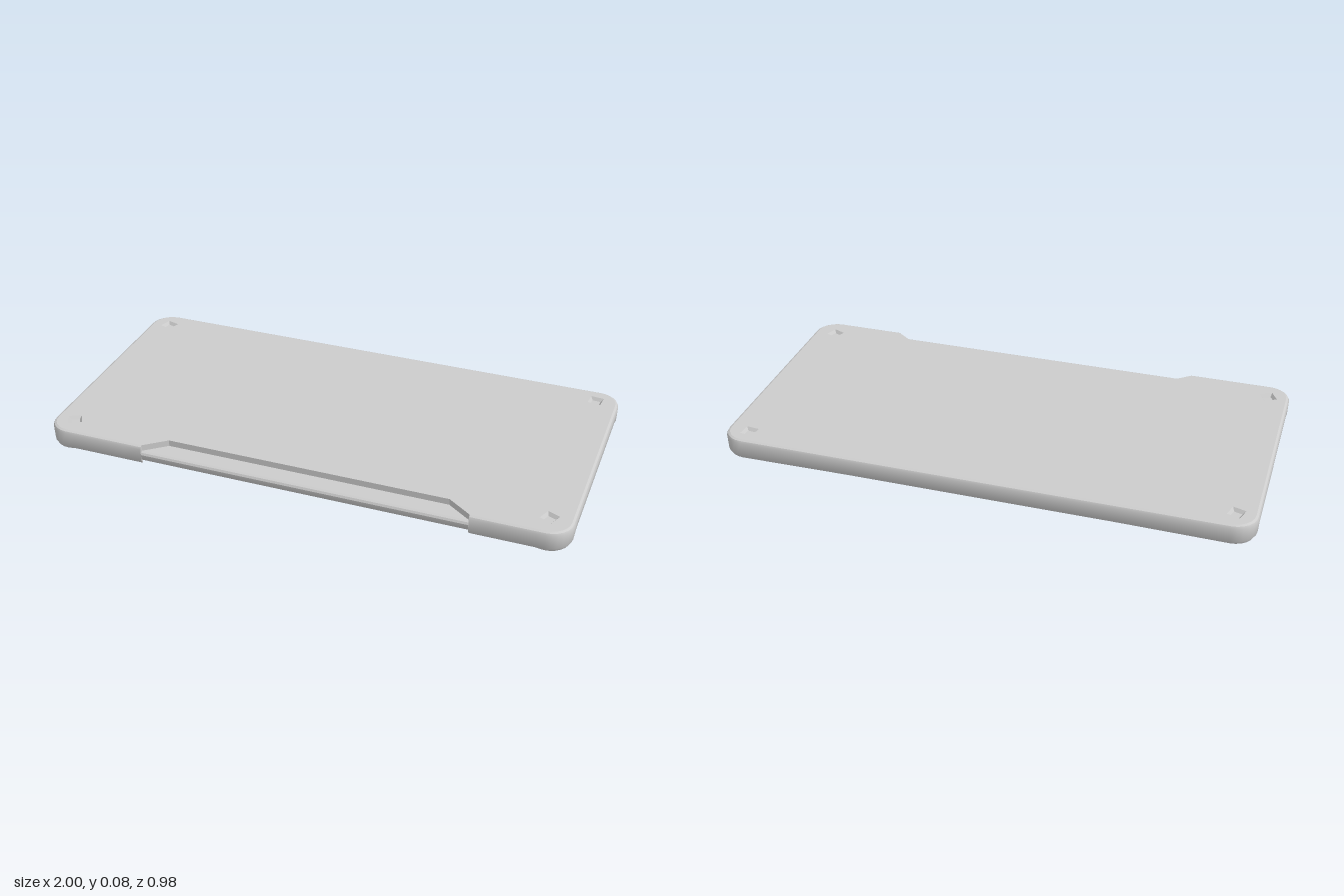
import * as THREE from 'three';
import { toCreasedNormals } from 'three/addons/utils/BufferGeometryUtils.js';

const W = 1, D = 0.488, R = 0.085;            // half width, half depth, corner radius
const TOP = 0.08, SHELF = 0.056;              // heights of the plate and the front recess
const BEVEL = 0.012;
const NOTCH = { x0: -0.6, x1: 0.65, inX0: -0.52, inX1: 0.56, z: 0.412 };

const material = new THREE.MeshStandardMaterial({ color: 0xcccccc, side: THREE.DoubleSide });

// Rounded outline, from the front edge round the left side, back and right side.
function outline(inset) {
  const pts = [];
  const w = W - inset, d = D - inset, r = R - inset;
  const front = [[-0.88, 0], [-0.67, 0], [-0.6, 0], [-0.6, 1], [-0.52, 1], [0.02, 1],
    [0.56, 1], [0.65, 1], [0.65, 0], [0.72, 0], [0.88, 0]];
  front.forEach(([x, low]) => pts.push({ x, z: d, low, edge: 'front' }));
  const corner = (sx, sz, start) => {
    for (let i = 0; i <= 6; i++) {
      const a = start - (i / 6) * Math.PI / 2;
      pts.push({ x: sx * (w - r) + r * Math.cos(a), z: sz * (d - r) + r * Math.sin(a), low: 0, edge: 'corner' });
    }
  };
  corner(1, 1, Math.PI / 2);
  for (const z of [0.36, 0, -0.36]) pts.push({ x: w, z, low: 0, edge: 'side' });
  corner(1, -1, 0);
  for (const x of [0.5, 0, -0.5]) pts.push({ x, z: -d, low: 0, edge: 'back' });
  corner(-1, -1, -Math.PI / 2);
  for (const z of [-0.36, 0, 0.36]) pts.push({ x: -w, z, low: 0, edge: 'side' });
  corner(-1, 1, -Math.PI);
  return pts;
}

// Lower edge lifts slightly along the sides and under the recess.
function bottomY(p) {
  if (p.low) return 0.017;
  if (p.edge === 'side') return 0.014;
  if (p.edge === 'front' || p.edge === 'back') return 0.004;
  return 0;
}

// Joins equal-length rows of points, lowest row first.
function skin(rows, closed) {
  const n = rows[0].length, index = [];
  for (let j = 0; j < rows.length - 1; j++) {
    for (let i = 0; i < (closed ? n : n - 1); i++) {
      const a = j * n + i, b = j * n + (i + 1) % n;
      index.push(a, b, b + n, a, b + n, a + n);
    }
  }
  const geo = new THREE.BufferGeometry();
  geo.setAttribute('position', new THREE.Float32BufferAttribute(rows.flat(2), 3));
  geo.setIndex(index);
  return toCreasedNormals(geo, 0.6);
}

// Horizontal panel from [x, z] corners at height y.
function panel(points, y, holes = []) {
  const path = (list) => list.map(([x, z]) => new THREE.Vector2(x, -z));
  const shape = new THREE.Shape(path(points));
  holes.forEach((h) => shape.holes.push(new THREE.Path(path(h))));
  const geo = new THREE.ShapeGeometry(shape);
  geo.rotateX(-Math.PI / 2);
  geo.translate(0, y, 0);
  return geo;
}

// Slightly turned square round a corner dimple.
function square(cx, cz, half, turn) {
  return [0, 1, 2, 3].map((i) => {
    const a = turn - Math.PI / 4 - i * Math.PI / 2;
    return [cx + half * Math.SQRT2 * Math.cos(a), cz + half * Math.SQRT2 * Math.sin(a)];
  });
}

export function createModel() {
  const group = new THREE.Group();
  const add = (name, geo) => {
    const mesh = new THREE.Mesh(geo, material);
    mesh.name = name;
    group.add(mesh);
  };

  // Outer wall, drawn in at the foot and rounded over at the top
  const levels = [
    [0.01, bottomY],
    [0.002, (p) => bottomY(p) + 0.014],
    [0, (p) => (p.low ? SHELF : TOP) - BEVEL],
    [0.004, (p) => (p.low ? SHELF : TOP) - 0.004],
    [BEVEL, (p) => (p.low ? SHELF : TOP)],
  ];
  add('outerWall', skin(levels.map(([inset, y]) => outline(inset).map((p) => [p.x, y(p), p.z])), true));

  // Recess outline
  const lip = D - BEVEL;
  const recess = [[NOTCH.x0, lip], [NOTCH.inX0, NOTCH.z], [NOTCH.inX1, NOTCH.z], [NOTCH.x1, lip]];

  // Top plate with the recess cut out of its front edge
  const rim = outline(BEVEL).filter((p) => !p.low).map((p) => [p.x, p.z]);
  rim.splice(3, 0, recess[1], recess[2]);
  const dimples = [[-0.92, -0.405, 0.3], [0.91, -0.415, 0.1], [-0.92, 0.4, -0.5], [0.91, 0.395, 0.4]];
  add('topPlate', panel(rim, TOP, dimples.map(([x, z, t]) => square(x, z, 0.025, t))));

  // Recess wall and shelf
  add('recessWall', skin([SHELF, TOP].map((y) => recess.map(([x, z]) => [x, y, z])), false));
  add('recessShelf', panel(recess, SHELF));

  // Shallow corner dimples
  dimples.forEach(([x, z, t]) => {
    const upper = square(x, z, 0.025, t), lower = square(x, z, 0.016, t);
    add('dimpleWall', skin([upper.map(([a, b]) => [a, TOP, b]), lower.map(([a, b]) => [a, TOP - 0.012, b])], true));
    add('dimpleFloor', panel(lower, TOP - 0.012));
  });
  return group;
}
